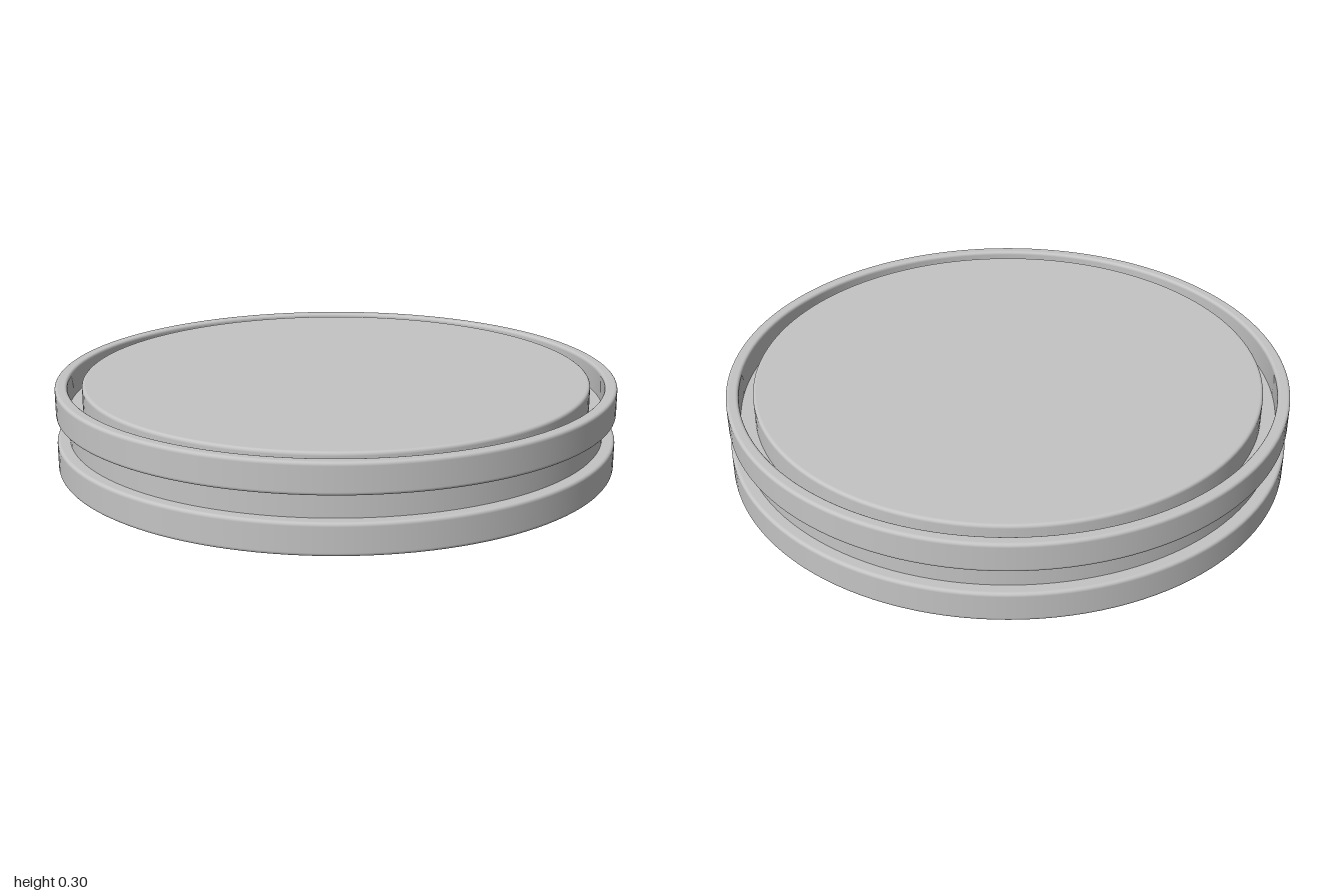
import * as THREE from 'three';

const SEGMENTS = 128;
const BEVEL = 0.01;

// Turns a corner profile into one with softly rounded inner corners;
// support points beside each arc keep the flats shading flat.
function rounded(corners) {
  const pts = corners.map(([x, y]) => new THREE.Vector2(x, y));
  const out = [pts[0]];
  for (let i = 1; i < pts.length - 1; i++) {
    const p = pts[i];
    const back = pts[i - 1].clone().sub(p).normalize();
    const ahead = pts[i + 1].clone().sub(p).normalize();
    const at = (dir, d) => p.clone().addScaledVector(dir, d);
    out.push(at(back, BEVEL + 0.002));
    for (let k = 0; k <= 4; k++) {
      const a = (k / 4) * Math.PI / 2;
      out.push(p.clone()
        .addScaledVector(back, BEVEL * (1 - Math.sin(a)))
        .addScaledVector(ahead, BEVEL * (1 - Math.cos(a))));
    }
    out.push(at(ahead, BEVEL + 0.002));
  }
  out.push(pts[pts.length - 1]);
  return out;
}

export function createModel() {
  const group = new THREE.Group();
  group.name = 'groovedDisc';
  const grey = new THREE.MeshStandardMaterial({ color: 0xc4c4c4 });
  grey.name = 'light grey';

  const neckR = 0.956, platformR = 0.906;
  const baseTop = 0.108, rimBottom = 0.194, floorY = 0.205, top = 0.3;

  // Each part is one stretch of the turned section, listed from the bottom up
  const parts = {
    base: [[0, 0], [1, 0], [1, baseTop], [neckR, baseTop]],
    neck: [[neckR, baseTop], [neckR, rimBottom]],
    rim: [[neckR, rimBottom], [1, rimBottom], [1, top], [neckR, top], [neckR, floorY]],
    channelFloor: [[neckR, floorY], [platformR, floorY]],
    platform: [[platformR, floorY], [platformR, top], [0, top]],
  };
  for (const [name, corners] of Object.entries(parts)) {
    const mesh = new THREE.Mesh(new THREE.LatheGeometry(rounded(corners), SEGMENTS), grey);
    mesh.name = name;
    group.add(mesh);
  }
  return group;
}
